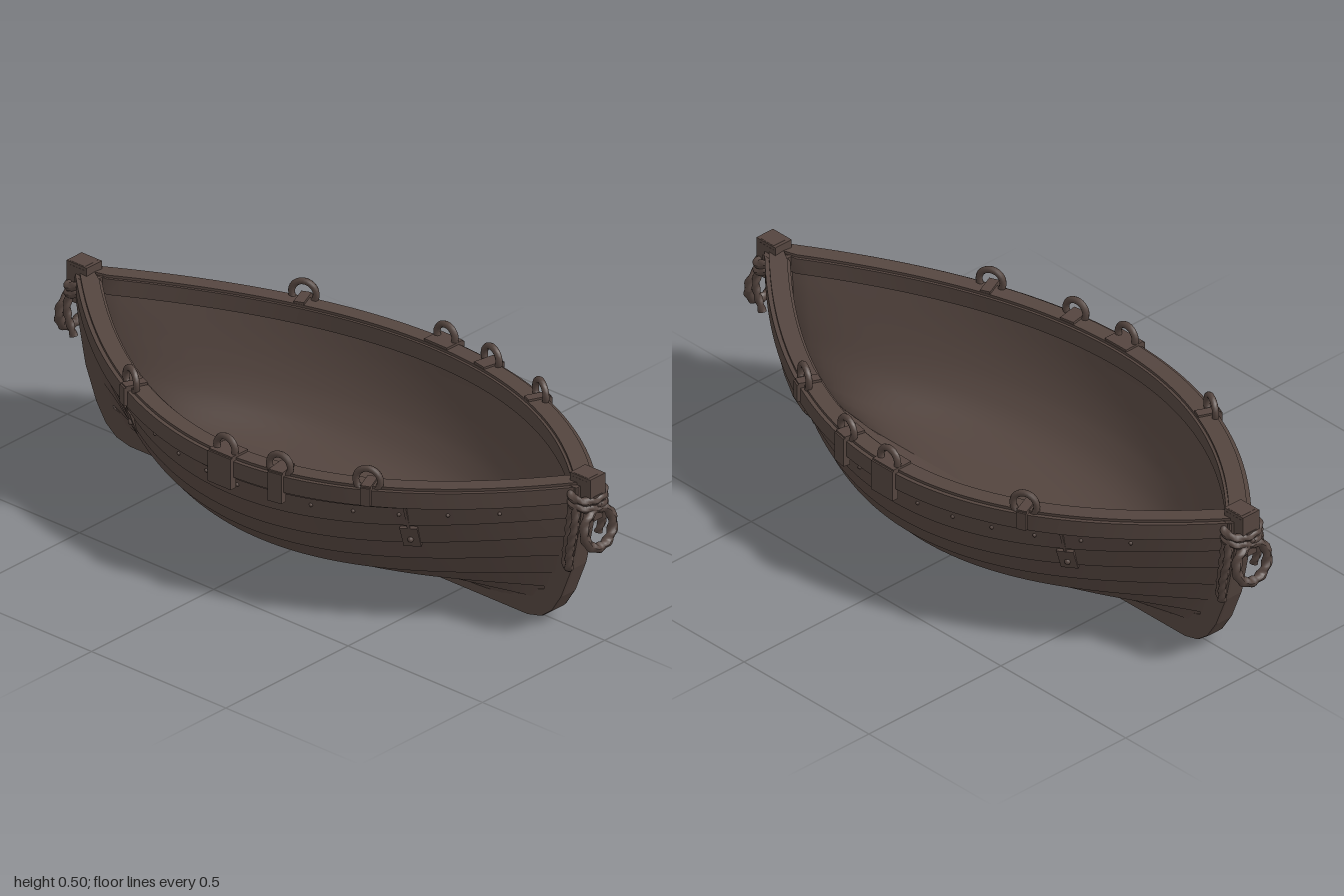
import * as THREE from 'three';
import { mergeGeometries } from 'three/addons/utils/BufferGeometryUtils.js';

// midship x, midship y and stem y of every plank edge, keel to sheer
const EDGES = [
  [0.025, 0.03, 0.03], [0.12, 0.045, 0.07], [0.22, 0.058, 0.12], [0.30, 0.09, 0.175], [0.36, 0.15, 0.235],
  [0.395, 0.21, 0.30], [0.42, 0.275, 0.36], [0.437, 0.34, 0.41], [0.448, 0.395, 0.465],
];
const TOP = EDGES.length - 1;
// outer stem profile as [z, y]
const STEM = [[0.74, 0.002], [0.79, 0.014], [0.83, 0.045], [0.865, 0.1], [0.905, 0.2], [0.93, 0.32], [0.952, 0.46]];

function stemZ(y) {
  for (let i = 1; i < STEM.length; i++) {
    const [z0, y0] = STEM[i - 1], [z1, y1] = STEM[i];
    if (y <= y1) return z0 + (z1 - z0) * Math.max(0, (y - y0) / (y1 - y0));
  }
  return STEM[STEM.length - 1][0];
}

// point on the +x side: t = plank edge number, s = -1 stern .. 1 bow
function hullPoint(t, s) {
  const i = Math.min(TOP - 1, Math.floor(t)), f = t - i;
  const mix = k => EDGES[i][k] * (1 - f) + EDGES[i + 1][k] * f;
  const fullness = Math.pow(Math.max(0, 1 - s * s), 1 + 0.55 * (1 - t / TOP));
  const x = 0.018 + (mix(0) - 0.018) * fullness;
  const y = mix(1) + (mix(2) - mix(1)) * s * s;
  return new THREE.Vector3(x, y, s * (stemZ(mix(2)) - 0.025));
}

// surface frame: local x along the boat, y up the plank, z outward
function hullFrame(t, s) {
  const along = hullPoint(t, s + 0.01).sub(hullPoint(t, s - 0.01)).normalize();
  const up = hullPoint(Math.min(TOP, t + 0.1), s).sub(hullPoint(t - 0.1, s));
  const out = new THREE.Vector3().crossVectors(up, along).normalize();
  up.crossVectors(along, out);
  const m = new THREE.Matrix4().makeBasis(along.negate(), up, out);
  return m.setPosition(hullPoint(t, s));
}

// surface from a function of u, v in 0..1
function grid(fn, nu, nv) {
  const pos = [], idx = [], row = nv + 1;
  for (let i = 0; i <= nu; i++) for (let j = 0; j <= nv; j++) pos.push(...fn(i / nu, j / nv).toArray());
  for (let i = 0; i < nu; i++) for (let j = 0; j < nv; j++) {
    const a = i * row + j, b = a + row;
    idx.push(a, b, a + 1, b, b + 1, a + 1);
  }
  const g = new THREE.BufferGeometry();
  g.setAttribute('position', new THREE.Float32BufferAttribute(pos, 3));
  g.setIndex(idx);
  g.computeVertexNormals();
  return g;
}
const strip = (a, b) => grid((u, v) => a(u * 2 - 1).lerp(b(u * 2 - 1), v), 56, 1);

// overlapping outer planks with a step at each lap
function plankGeometry() {
  const parts = [];
  for (let i = 0; i < TOP; i++) {
    const lower = s => {
      const p = hullPoint(i, s), k = 1 - s * s * 0.6;
      p.x += 0.011 * k;
      p.y -= 0.006 * k;
      return p;
    };
    parts.push(strip(lower, s => hullPoint(i + 1, s)));
    if (i > 0) parts.push(strip(s => hullPoint(i, s).add(new THREE.Vector3(-0.004, 0.004, 0)), lower));
  }
  return mergeGeometries(parts);
}

function liningGeometry() {
  return grid((u, v) => {
    const p = hullPoint(v * TOP, u * 2 - 1);
    p.x = v === 0 ? 0 : Math.max(0, p.x - 0.028);
    p.y += 0.026 * (1 - v);
    p.z *= 0.985;
    return p;
  }, 56, TOP * 2);
}

// bar following the sheer: offsets inward/outward and down/up
function railGeometry(inner, outer, low, high) {
  const edge = (o, h) => s => {
    const p = hullPoint(TOP, s), d = hullPoint(TOP, Math.min(1, s + 0.01)).sub(hullPoint(TOP, Math.max(-1, s - 0.01)));
    const len = Math.hypot(d.x, d.z);
    p.x = Math.max(0, p.x + o * d.z / len);
    p.z -= o * d.x / len;
    p.y += h;
    return p;
  };
  const c = [edge(inner, low), edge(outer, low), edge(outer, high), edge(inner, high)];
  return mergeGeometries(c.map((e, i) => strip(e, c[(i + 1) % 4])));
}

// keel and both stems in one extruded outline
function backboneGeometry() {
  const inner = STEM.map(([z, y]) => [z - 0.065, y + (y < 0.1 ? 0.045 : 0)]);
  const half = [...inner, ...STEM.slice().reverse()];
  const pts = [...half, ...half.slice().reverse().map(([z, y]) => [-z, y])];
  const g = new THREE.ExtrudeGeometry(new THREE.Shape(pts.map(p => new THREE.Vector2(...p))),
    { depth: 0.044, bevelEnabled: true, bevelSize: 0.002, bevelThickness: 0.008, bevelSegments: 1 });
  return g.translate(0, 0, -0.022).rotateY(-Math.PI / 2);
}

// tube with twisted strands
function ropeGeometry(points, radius, closed = false) {
  const curve = new THREE.CatmullRomCurve3(points.map(p => new THREE.Vector3(...p)), closed);
  const turns = Math.round(curve.getLength() / (radius * 3));
  const g = new THREE.TubeGeometry(curve, turns * 6, radius, 10, closed);
  const { position: p, normal: n, uv } = g.attributes;
  for (let i = 0; i < p.count; i++) {
    const k = radius * 0.16 * Math.sin(Math.PI * 2 * (2 * uv.getY(i) + turns * uv.getX(i)));
    p.setXYZ(i, p.getX(i) + n.getX(i) * k, p.getY(i) + n.getY(i) * k, p.getZ(i) + n.getZ(i) * k);
  }
  g.computeVertexNormals();
  return g;
}
const ringPoints = (fn, n = 12) => Array.from({ length: n }, (_, i) => fn(Math.cos(i / n * Math.PI * 2), Math.sin(i / n * Math.PI * 2)));

export function createModel() {
  const boat = new THREE.Group();
  boat.name = 'rowingBoat';
  const wood = new THREE.MeshStandardMaterial({ color: 0x54453f, side: THREE.DoubleSide });
  wood.name = 'darkBrownWood';
  const add = (parent, name, geometry) => {
    const m = new THREE.Mesh(geometry, wood);
    m.name = name;
    parent.add(m);
    return m;
  };

  add(boat, 'keelAndStems', backboneGeometry());

  for (const side of [1, -1]) {
    const half = new THREE.Group();
    half.name = side > 0 ? 'leftSide' : 'rightSide';
    half.scale.x = side;
    boat.add(half);
    add(half, 'planks', plankGeometry());
    add(half, 'lining', liningGeometry());
    add(half, 'gunwale', railGeometry(-0.042, 0.008, -0.025, 0.012));
    add(half, 'rubbingStrake', railGeometry(-0.006, 0.02, -0.045, 0.004));
    add(half, 'innerRail', railGeometry(-0.05, -0.03, -0.045, 0.004));

    // fittings fixed to the hull surface
    const fix = (name, t, s, geometry) => add(half, name, geometry).applyMatrix4(hullFrame(t, s));
    for (const s of [0.57, -0.57]) {
      fix('sidePlate', 5.3, s, new THREE.BoxGeometry(0.05, 0.07, 0.022));
      fix('plateBolt', 5.2, s, new THREE.SphereGeometry(0.009, 8, 6).translate(0, 0, 0.012));
      fix('plateStrap', 6.4, s, new THREE.BoxGeometry(0.008, 0.13, 0.018));
    }
    for (let i = -6; i <= 6; i++) fix('peg', 6.55, i * 0.13 + 0.03, new THREE.SphereGeometry(0.006, 6, 5).translate(0, 0, 0.005));

    // rail loops and their clamps: z, clamp width, clamp height, loop radius
    for (const [z, w, h, r] of [[0.44, 0.03, 0.055, 0.036], [0.185, 0.045, 0.09, 0.034], [0, 0.085, 0.095, 0.034], [-0.44, 0.03, 0.055, 0.036]]) {
      const s = z / 0.927, p = hullPoint(TOP, s), q = hullPoint(TOP, s + 0.01);
      const fitting = new THREE.Group();
      fitting.name = 'railLoop';
      fitting.position.copy(p);
      fitting.rotation.y = Math.atan2(q.x - p.x, q.z - p.z);
      half.add(fitting);
      add(fitting, 'loop', new THREE.TorusGeometry(r, 0.01, 8, 24).rotateY(Math.PI / 2)).position.set(0.002, 0.027, 0);
      add(fitting, 'clamp', new THREE.BoxGeometry(0.022, h, w)).position.set(0.019, 0.014 - h / 2, 0);
      add(fitting, 'clampTop', new THREE.BoxGeometry(0.066, 0.014, w)).position.set(-0.008, 0.012, 0);
    }
  }

  // post head, mooring ring and ropes at each end
  for (const end of [1, -1]) {
    const g = new THREE.Group();
    g.name = end > 0 ? 'bowFittings' : 'sternFittings';
    if (end < 0) g.rotation.y = Math.PI;
    boat.add(g);
    add(g, 'postHead', new THREE.BoxGeometry(0.062, 0.085, 0.075)).position.set(0, 0.457, 0.937);
    add(g, 'postCap', new THREE.CylinderGeometry(0.038, 0.044, 0.01, 4).rotateY(Math.PI / 4)).position.set(0, 0.495, 0.937);
    add(g, 'breastHook', new THREE.BoxGeometry(0.09, 0.03, 0.06)).position.set(0, 0.452, 0.905);
    add(g, 'ringBracket', new THREE.BoxGeometry(0.035, 0.075, 0.04)).position.set(0, 0.405, 0.957);
    add(g, 'bracketBolt', new THREE.SphereGeometry(0.009, 8, 6)).position.set(0, 0.415, 0.978);
    const ring = add(g, 'mooringRing', ropeGeometry(ringPoints((c, s) => [c * 0.058, s * 0.058, 0]), 0.014, true));
    ring.position.set(0, 0.342, 0.977);
    ring.rotation.x = -0.12;
    for (const y of [0.418, 0.44])
      add(g, 'lashing', ropeGeometry(ringPoints((c, s) => [c * 0.056, y + s * -0.012, 0.936 + s * 0.036]), 0.012, true));
    add(g, 'hangingRope', ropeGeometry([[-0.05, 0.43, 0.94], [-0.062, 0.36, 0.945], [-0.066, 0.28, 0.93], [-0.055, 0.215, 0.915],
      [-0.043, 0.225, 0.895], [-0.045, 0.3, 0.905], [-0.045, 0.41, 0.92]], 0.012));
    add(g, 'ropeTail', ropeGeometry([[0.05, 0.43, 0.94], [0.062, 0.37, 0.945], [0.056, 0.29, 0.925]], 0.011));
  }
  return boat;
}
